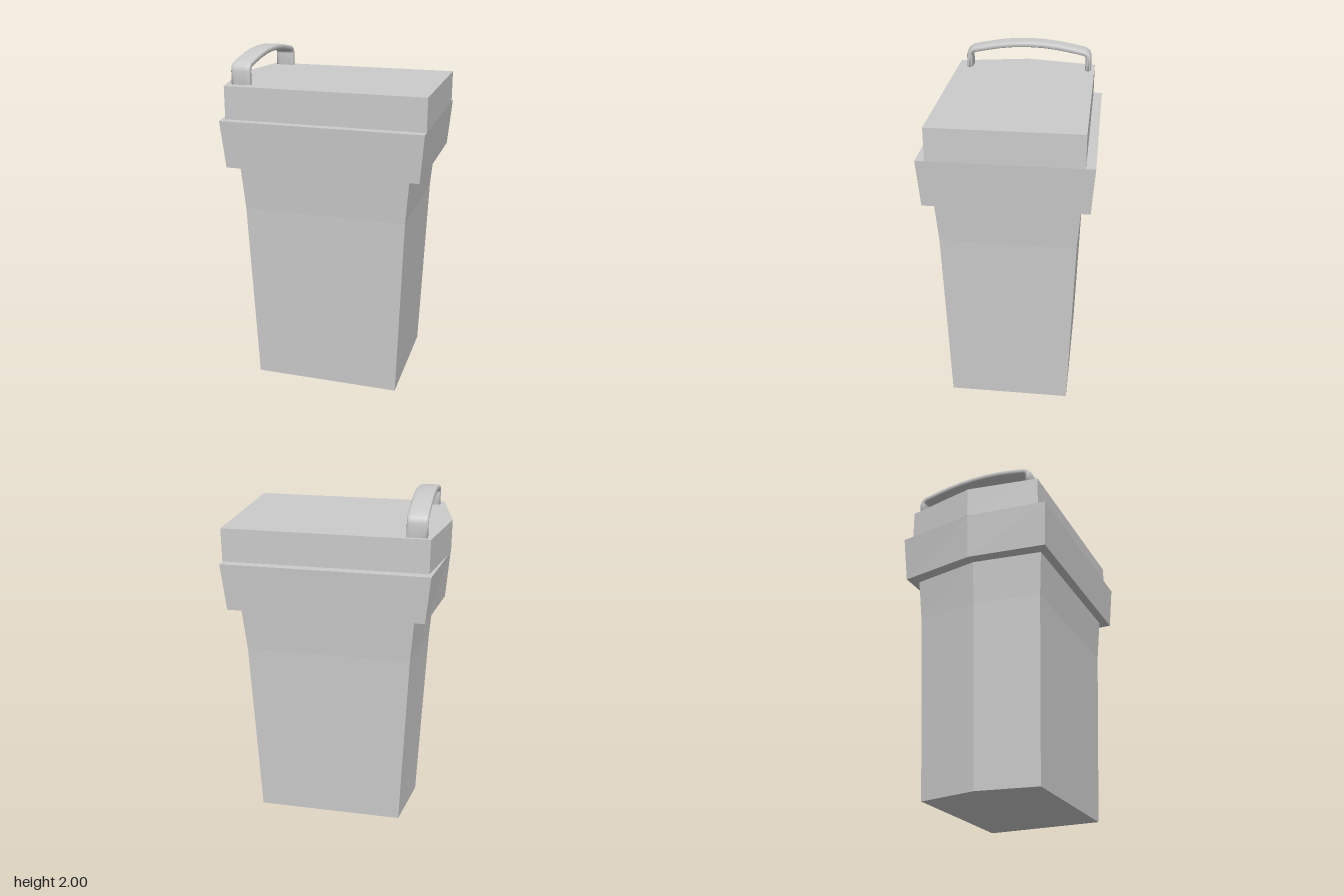
import * as THREE from 'three';

const grey = new THREE.MeshStandardMaterial({ color: 0xcccccc });
const greyFlat = new THREE.MeshStandardMaterial({ color: 0xcccccc, flatShading: true });

// Skin a list of convex rings (counter-clockwise about the path) and cap both ends.
function loft(name, rings, material) {
  const n = rings[0].length, last = (rings.length - 1) * n, index = [];
  for (let i = 0; i < rings.length - 1; i++) {
    for (let j = 0; j < n; j++) {
      const a = i * n + j, b = i * n + (j + 1) % n;
      index.push(a, b, b + n, a, b + n, a + n);
    }
  }
  for (let j = 1; j < n - 1; j++) {
    index.push(0, j + 1, j, last, last + j, last + j + 1);
  }
  const geometry = new THREE.BufferGeometry().setFromPoints(rings.flat());
  geometry.setIndex(index);
  geometry.computeVertexNormals();
  const mesh = new THREE.Mesh(geometry, material);
  mesh.name = name;
  return mesh;
}

// Five-sided outline: flat end at +x, shallow point at -x.
function outline(y, right, shoulder, point, half) {
  return [[right, half], [right, -half], [shoulder, -half], [point, 0], [shoulder, half]]
    .map(([x, z]) => new THREE.Vector3(x, y, z));
}

// Flat rounded bar swept along an arched path.
function makeHandle() {
  const halfSpan = 0.368, cx = -0.4625, cz = -0.018, halfWidth = 0.058, halfThick = 0.018;
  const side = [[halfSpan, 1.82], [halfSpan, 1.905], [halfSpan - 0.005, 1.925],
    [halfSpan - 0.025, 1.938], [0.27, 1.953], [0.18, 1.969], [0.09, 1.979]];
  const mirrored = side.map(([z, y]) => [-z, y]).reverse();
  const path = [...side, [0, 1.982], ...mirrored].map(([z, y]) => new THREE.Vector3(cx, y, z + cz));
  const across = new THREE.Vector3(1, 0, 0);
  const soften = v => Math.sign(v) * Math.sqrt(Math.abs(v));
  const rings = path.map((p, i) => {
    const tangent = path[Math.min(i + 1, path.length - 1)].clone()
      .sub(path[Math.max(i - 1, 0)]).normalize();
    const out = tangent.cross(across);
    return Array.from({ length: 20 }, (_, k) => {
      const a = k / 20 * Math.PI * 2;
      return p.clone().addScaledVector(across, halfWidth * soften(Math.cos(a)))
        .addScaledVector(out, halfThick * soften(Math.sin(a)));
    });
  });
  return loft('handle', rings, grey);
}

export function createModel() {
  const model = new THREE.Group();
  model.name = 'bin';

  // Tapered container, flaring slightly near the top
  model.add(loft('body', [
    outline(0, 0.47, -0.405, -0.47, 0.358),
    outline(1.1, 0.51, -0.447, -0.515, 0.39),
    outline(1.365, 0.532, -0.467, -0.535, 0.408),
  ], greyFlat));

  // Overhanging rim
  model.add(loft('rim', [
    outline(1.365, 0.597, -0.53, -0.6, 0.46),
    outline(1.64, 0.62, -0.555, -0.62, 0.478),
  ], greyFlat));

  // Lid set in from the long sides
  model.add(loft('lid', [
    outline(1.64, 0.62, -0.54, -0.622, 0.425),
    outline(1.83, 0.62, -0.54, -0.622, 0.425),
  ], greyFlat));

  model.add(makeHandle());
  return model;
}
